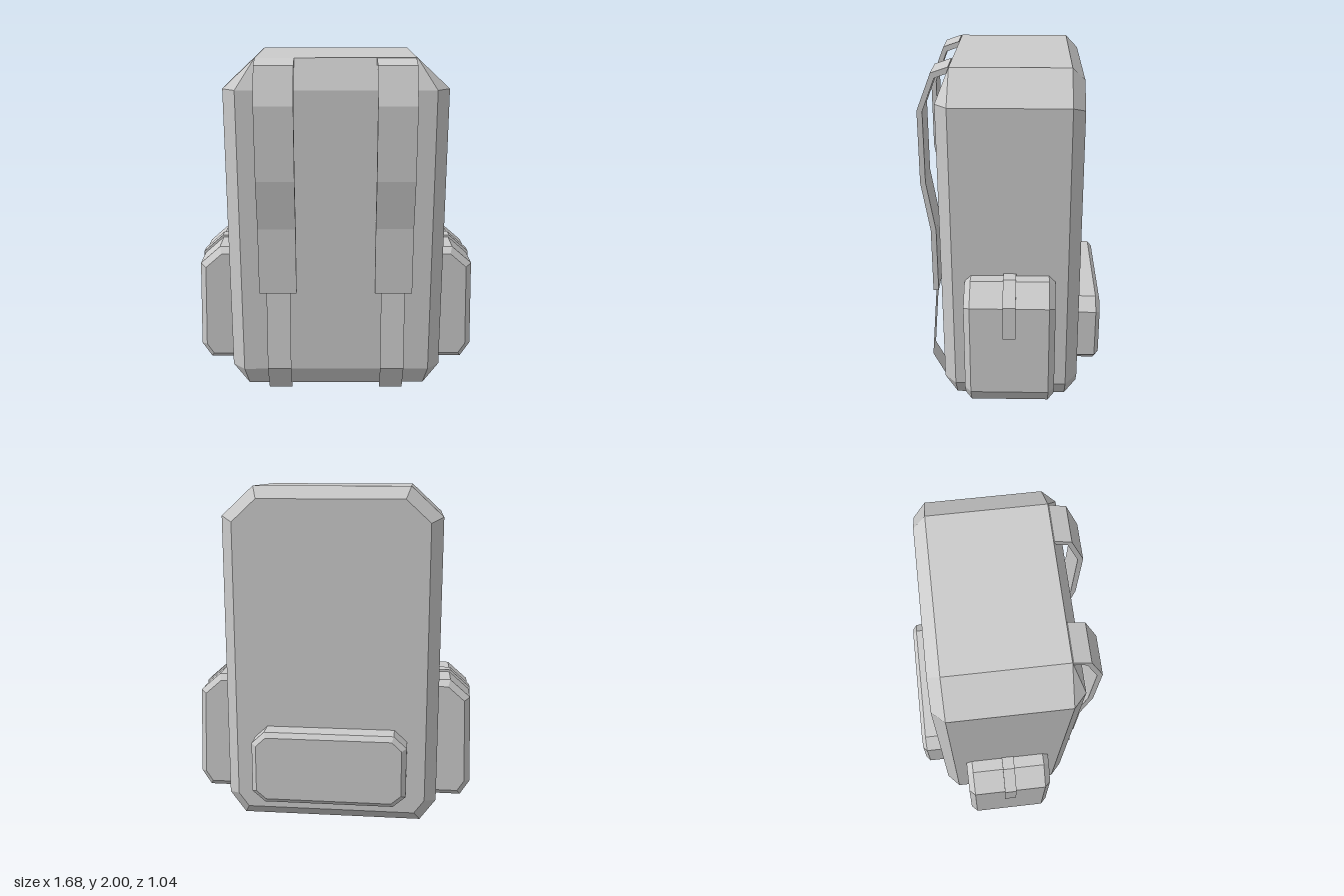
import * as THREE from 'three';
import { ConvexGeometry } from 'three/addons/geometries/ConvexGeometry.js';

const grey = new THREE.MeshStandardMaterial({ color: 0xcccccc, flatShading: true });
const greySheet = new THREE.MeshStandardMaterial({ color: 0xcccccc, flatShading: true, side: THREE.DoubleSide });

// Shrinks a convex counter-clockwise outline by d.
function inset(outline, d) {
  const n = outline.length;
  const inward = (a, b) => {
    const l = Math.hypot(b[0] - a[0], b[1] - a[1]);
    return [(a[1] - b[1]) / l, (b[0] - a[0]) / l];
  };
  return outline.map((p, i) => {
    const u = inward(outline[(i + n - 1) % n], p);
    const v = inward(p, outline[(i + 1) % n]);
    const k = d / (1 + u[0] * v[0] + u[1] * v[1]);
    return [p[0] + k * (u[0] + v[0]), p[1] + k * (u[1] + v[1])];
  });
}

// Adds the mirrored half of a right-hand outline.
const symmetric = (half) => [...half, ...half.map(([x, y]) => [-x, y]).reverse()];

// Faceted solid through xy outlines placed at given z depths.
function facetedSolid(rings, side = 1) {
  const points = rings.flatMap(([z, outline]) => outline.map(([x, y]) => new THREE.Vector3(side * x, y, z)));
  return new ConvexGeometry(points);
}

// Extrudes an outline, centred on its depth.
function slab(outline, depth) {
  const shape = new THREE.Shape(outline.map(([x, y]) => new THREE.Vector2(x, y)));
  return new THREE.ExtrudeGeometry(shape, { depth, bevelEnabled: false }).translate(0, 0, -depth / 2);
}

export function createModel() {
  const model = new THREE.Group();
  model.name = 'backpack';
  const add = (name, geometry, material = grey) => {
    const mesh = new THREE.Mesh(geometry, material);
    mesh.name = name;
    model.add(mesh);
    return mesh;
  };

  // Main bag: bevelled all round at the back, sloped to a rectangle at the front
  const bag = symmetric([[0.54, 0], [0.635, 0.13], [0.635, 1.83], [0.45, 2]]);
  const frontPanel = symmetric([[0.56, 0.13], [0.56, 1.83]]);
  add('mainBag', facetedSolid([[0.41, frontPanel], [0.34, bag], [-0.315, bag], [-0.385, inset(bag, 0.07)]]));

  // Low pocket on the back
  const low = symmetric([[0.38, 0.155], [0.455, 0.22], [0.455, 0.52], [0.38, 0.59]]);
  add('backPocket', facetedSolid([[-0.37, low], [-0.497, low], [-0.522, inset(low, 0.028)]]));

  const pocket = [[0.56, 0.13], [0.785, 0.13], [0.842, 0.22], [0.825, 0.755], [0.705, 0.86], [0.56, 0.86]];
  const pocketBand = [
    [0.6, 0.873], [0.71, 0.873], [0.833, 0.765], [0.839, 0.57],
    [0.825, 0.57], [0.815, 0.75], [0.7, 0.855], [0.6, 0.855],
  ];
  // Shoulder strap profile as [z, y]
  const strap = [
    [0.345, 2], [0.44, 1.968], [0.522, 1.76], [0.522, 1.34], [0.475, 1.05], [0.475, 0.655],
    [0.444, 0.655], [0.444, 1.05], [0.492, 1.345], [0.492, 1.755], [0.42, 1.94], [0.335, 1.97],
  ];
  // Lower webbing path as [z, y]
  const webbing = [[0.46, 0.67], [0.5, 0.18], [0.415, 0.01]];

  for (const [side, label] of [[1, 'left'], [-1, 'right']]) {
    // Side pocket with its closing band
    const rim = inset(pocket, 0.035);
    add(label + 'SidePocket', facetedSolid([[0.268, rim], [0.233, pocket], [-0.207, pocket], [-0.242, rim]], side));
    const band = add(label + 'PocketBand', slab(pocketBand.map(([x, y]) => [side * x, y]), 0.072));
    band.position.z = 0.014;

    // Padded shoulder strap
    const shoulder = add(label + 'ShoulderStrap', slab(strap, 0.218).rotateY(-Math.PI / 2));
    shoulder.position.x = side * 0.338 - 0.003;

    // Thin webbing below the strap
    const sheet = new THREE.PlaneGeometry(0.14, 1, 1, 2);
    const pos = sheet.attributes.position;
    for (let i = 0; i < pos.count; i++) {
      const [z, y] = webbing[Math.floor(i / 2)];
      pos.setXYZ(i, pos.getX(i), y, z);
    }
    sheet.computeVertexNormals();
    add(label + 'LowerWebbing', sheet, greySheet).position.x = side * 0.336 - 0.003;
  }
  return model;
}
